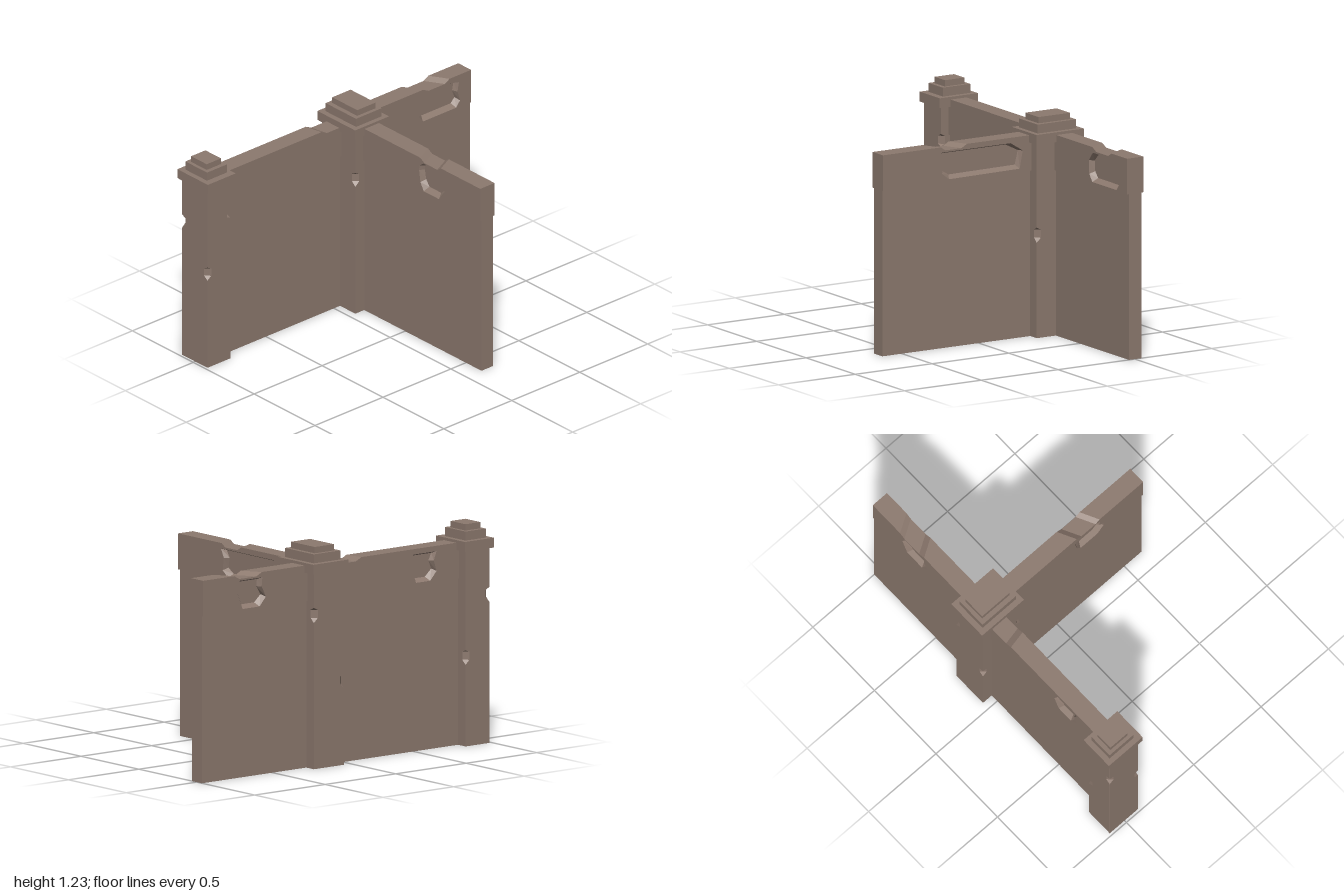
import * as THREE from 'three';

const stone = new THREE.MeshStandardMaterial({ color: 0x8c796e });
stone.name = 'stone brown';
stone.side = THREE.DoubleSide;

const HALF = 0.0525, DEPTH = 0.03;   // half thickness of the rail, depth of its chips
const RAIL_Y = 0.93, TOP = 1.13, LOW = 1.11;

function add(parent, geometry, name) {
  const mesh = new THREE.Mesh(geometry, stone);
  mesh.name = name;
  parent.add(mesh);
  return mesh;
}

function box(parent, name, x0, x1, y0, y1, z0, z1) {
  const mesh = add(parent, new THREE.BoxGeometry(x1 - x0, y1 - y0, z1 - z0), name);
  mesh.position.set((x0 + x1) / 2, (y0 + y1) / 2, (z0 + z1) / 2);
}

// Flat shaded surface through rings that all have the same number of points
function loft(rings) {
  const n = rings[0].length, pos = [];
  for (let r = 0; r + 1 < rings.length; r++) {
    for (let i = 0; i < n; i++) {
      const j = (i + 1) % n, a = rings[r], b = rings[r + 1];
      pos.push(...a[i], ...a[j], ...b[j], ...a[i], ...b[j], ...b[i]);
    }
  }
  const g = new THREE.BufferGeometry();
  g.setAttribute('position', new THREE.Float32BufferAttribute(pos, 3));
  g.computeVertexNormals();
  return g;
}

// One layer of the rail; the notches in its top run diagonally across the thickness
function railLayer(u0, u1, top, w0, w1, slant, hole) {
  const pts = [[u0, RAIL_Y], [u1, RAIL_Y], ...[...top].reverse()];
  const shape = new THREE.Shape(pts.map(p => new THREE.Vector2(...p)));
  if (hole) shape.holes.push(new THREE.Path(hole.map(p => new THREE.Vector2(...p))));
  const g = new THREE.ExtrudeGeometry(shape, { depth: w1 - w0, bevelEnabled: false });
  g.translate(0, 0, w0);
  const p = g.attributes.position;
  for (let i = 0; i < p.count; i++) {
    const u = p.getX(i);
    if (p.getY(i) > 1.105 && u > u0 + 0.001 && u < u1 - 0.001) p.setX(i, u + slant * p.getZ(i));
  }
  g.computeVertexNormals();
  return g;
}

// Sloping sides of a chip, narrowing towards the core
function chipSides(outline, side) {
  const n = outline.length;
  const cu = outline.reduce((s, p) => s + p[0], 0) / n;
  const cy = outline.reduce((s, p) => s + p[1], 0) / n + 0.02;
  const outer = outline.map(([u, y]) => [u, y, side * HALF]);
  const inner = outline.map(([u, y]) =>
    [u + Math.sign(cu - u) * 0.014, y + (cy - y) * 0.2, side * (HALF - DEPTH)]);
  if (side > 0) return loft([outer, inner]);
  return loft([inner, outer]);
}

function wall(name, u0, u1, top, slant, frontChip, backChip) {
  const g = new THREE.Group();
  g.name = name;
  box(g, 'panel', u0, u1 - 0.002, 0, RAIL_Y, -0.042, 0.042);
  const core = HALF - DEPTH;
  add(g, railLayer(u0, u1, top, -core, core, slant), 'railCore');
  add(g, railLayer(u0, u1, top, core, HALF, slant, frontChip), 'railFrontFace');
  add(g, railLayer(u0, u1, top, -HALF, -core, slant, backChip), 'railBackFace');
  if (frontChip) add(g, chipSides(frontChip, 1), 'frontChip');
  if (backChip) add(g, chipSides(backChip, -1), 'backChip');
  return g;
}

// Square post; each chip is [x sign, z sign, height] and cuts one corner
function post(name, [x0, x1, z0, z1], tiers, chips) {
  const g = new THREE.Group();
  g.name = name;
  const heights = new Set([0, 1.1]);
  for (const c of chips) for (const d of [-0.045, -0.02, 0.025, 0.04]) heights.add(c[2] + d);
  const corners = [[-1, 1], [1, 1], [1, -1], [-1, -1]];
  const rings = [...heights].sort((a, b) => a - b).map(y => corners.flatMap(([sx, sz], k) => {
    const cut = chips.some(c => c[0] === sx && c[1] === sz && Math.abs(y - c[2]) < 0.03) ? 0.028 : 0.0003;
    const x = sx < 0 ? x0 : x1, z = sz < 0 ? z0 : z1;
    const alongX = [x - sx * cut, y, z], alongZ = [x, y, z - sz * cut];
    return k % 2 ? [alongX, alongZ] : [alongZ, alongX];
  }));
  add(g, loft(rings), 'shaft');
  box(g, 'shaftFoot', x0, x1, 0, 0.004, z0, z1);
  const levels = [1.09, 1.145, 1.195, 1.23];
  tiers.forEach(([a, b, c, d], i) => box(g, 'capTier', a, b, levels[i], levels[i + 1], c, d));
  return g;
}

export function createModel() {
  const model = new THREE.Group();
  model.name = 'wallJunction';

  // Posts with stepped caps
  model.add(post('frontPost', [-0.61, -0.4, 0.815, 0.985],
    [[-0.63, -0.38, 0.795, 1], [-0.598, -0.42, 0.825, 0.97], [-0.573, -0.445, 0.845, 0.95]],
    [[1, 1, 0.58], [-1, 1, 0.83], [-1, -1, 0.5], [1, -1, 0.9]]));
  model.add(post('middlePost', [-0.61, -0.335, -0.26, -0.045],
    [[-0.63, -0.32, -0.28, -0.03], [-0.598, -0.348, -0.25, -0.062], [-0.575, -0.37, -0.225, -0.09]],
    [[1, 1, 0.83], [1, -1, 0.58], [-1, -1, 0.86], [-1, 1, 0.47]]));

  // Wall running to the model's left
  const side = wall('sideWall', -0.36, 0.63,
    [[-0.36, TOP], [0.11, TOP], [0.145, LOW], [0.25, LOW], [0.28, TOP], [0.63, TOP]], 0.5,
    [[0.165, 0.934], [0.29, 0.934], [0.335, 0.985], [0.337, 1.01], [0.302, 1.05], [0.31, 1.085],
      [0.285, 1.104], [0.15, 1.104], [0.13, 1.08], [0.127, 1.05], [0.138, 0.98]],
    [[-0.26, 0.95], [0.2, 0.945], [0.245, 0.98], [0.235, 1.05], [0.26, 1.1], [-0.2, 1.1], [-0.28, 1.05]]);
  side.position.z = -0.1525;
  model.add(side);

  // Walls running front to back; u is z and their front face looks to -x
  const front = wall('frontWall', -0.07, 0.84,
    [[-0.07, LOW], [0.072, LOW], [0.112, TOP], [0.84, TOP]], 0.2,
    [[0.51, 0.94], [0.61, 0.94], [0.655, 0.99], [0.635, 1.05], [0.655, 1.1], [0.49, 1.1], [0.475, 1.03]]);
  const back = wall('backWall', -1, -0.24,
    [[-1, TOP], [-0.81, TOP], [-0.775, LOW], [-0.655, LOW], [-0.615, TOP], [-0.24, TOP]], 0.6,
    [[-0.72, 0.94], [-0.6, 0.94], [-0.555, 0.99], [-0.585, 1.05], [-0.58, 1.1], [-0.74, 1.1], [-0.76, 1.04]],
    [[-0.89, 0.934], [-0.645, 0.934], [-0.615, 0.975], [-0.61, 1.05], [-0.65, 1.1], [-0.85, 1.1],
      [-0.91, 1.085], [-0.9, 1.03], [-0.918, 0.97]]);
  for (const w of [front, back]) {
    w.rotation.y = -Math.PI / 2;
    w.position.x = -0.5025;
    model.add(w);
  }
  // Keep the back end facing outward and flush with the model's rear
  return model;
}
